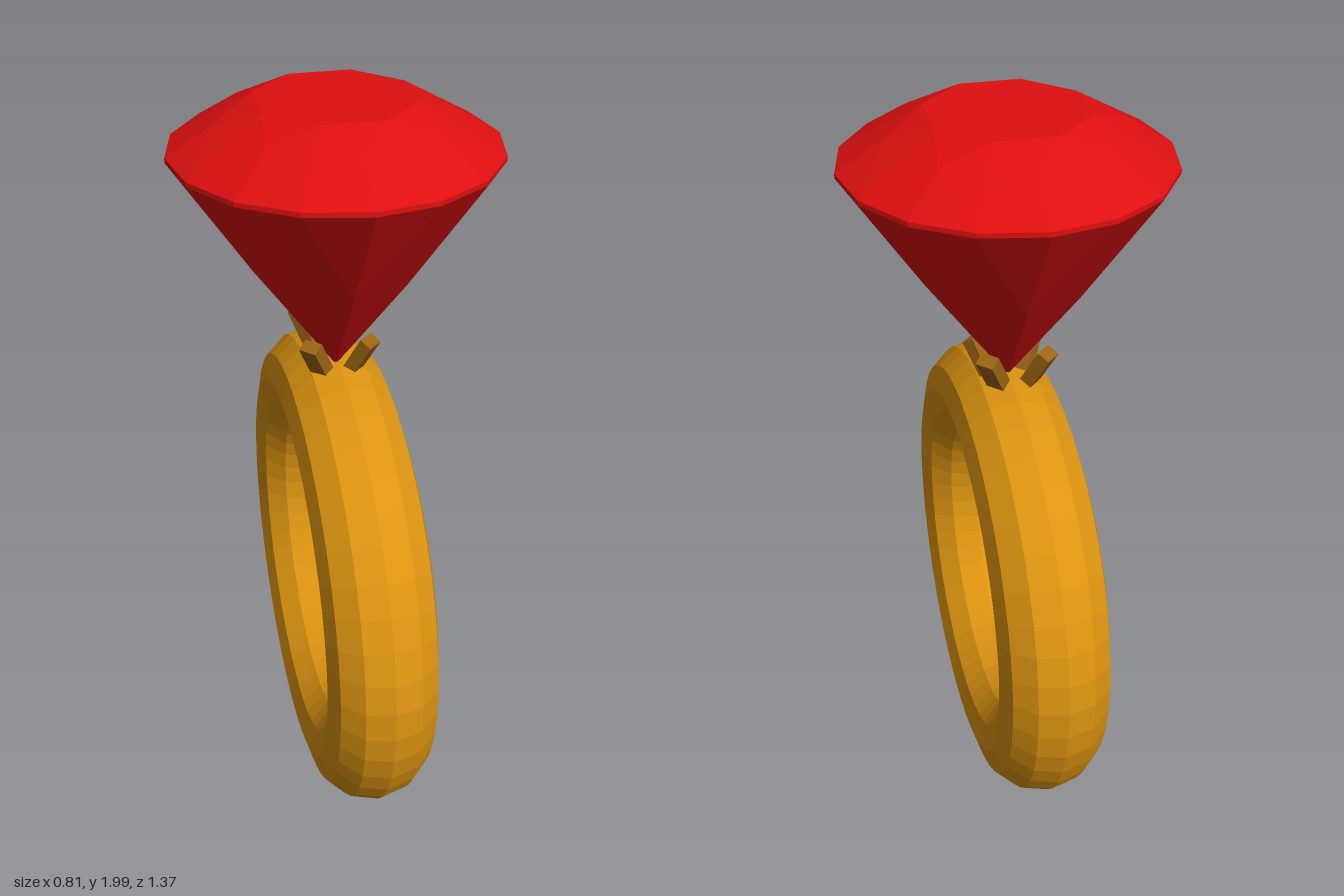
import * as THREE from 'three';

const mat = (name, color) => {
  const m = new THREE.MeshStandardMaterial({ color, flatShading: true });
  m.name = name;
  return m;
};

// Brilliant-cut gem: table, star, girdle, pavilion rings and a point
function gemGeometry() {
  const pos = [];
  const P = (r, y, step) => { // step counts 22.5 degree turns
    const a = step * Math.PI / 8;
    return [r * Math.cos(a), y, r * Math.sin(a)];
  };
  const tri = (a, b, c) => pos.push(...a, ...c, ...b);
  const table = s => P(0.2, 2.0, s), star = s => P(0.287, 1.957, s);
  const girdle = s => P(0.407, 1.882, s), under = s => P(0.407, 1.87, s);
  const mid = s => P(0.207, 1.57, s);
  const top = [0, 2, 0], tip = [0, 1.285, 0];
  for (let s = 0; s < 16; s += 2) {
    const l = s - 1, r = s + 1;
    // crown: table, star, kite halves and upper girdle facets
    tri(top, table(l), table(r));
    tri(table(l), star(s), table(r));
    tri(star(s), girdle(r), table(r));
    tri(star(s), table(l), girdle(l));
    tri(star(s), girdle(s), girdle(r));
    tri(star(s), girdle(l), girdle(s));
    // girdle band
    for (const g of [l, s]) {
      tri(girdle(g), under(g), under(g + 1));
      tri(girdle(g), under(g + 1), girdle(g + 1));
    }
    // pavilion: lower girdle facets and kite halves down to the tip
    tri(under(l), mid(s), under(s));
    tri(under(s), mid(s), under(r));
    tri(mid(s), tip, under(r));
    tri(mid(s), under(l), tip);
  }
  const g = new THREE.BufferGeometry();
  g.setAttribute('position', new THREE.Float32BufferAttribute(pos, 3));
  g.computeVertexNormals();
  return g;
}

export function createModel() {
  const model = new THREE.Group();
  model.name = 'gemRing';
  const gold = mat('gold', 0xdc9410);
  const darkGold = mat('darkGold', 0x9c6414);
  const red = mat('gemRed', 0xde0f10);

  const add = (name, geometry, material) => {
    const mesh = new THREE.Mesh(geometry, material);
    mesh.name = name;
    model.add(mesh);
    return mesh;
  };

  // Slightly oval band, standing in the side plane
  const band = new THREE.TorusGeometry(0.55, 0.138, 12, 48);
  band.scale(1.002, 0.932, 1.05).rotateZ(0.33).rotateY(Math.PI / 2);
  add('band', band, gold).position.set(0.003, 0.652, 0);

  add('gem', gemGeometry(), red).position.z = -0.01;

  // Four prongs leaning outward around the gem's point
  for (const side of [-1, 1]) {
    for (const [end, z, y] of [['front', 0.03, 1.33], ['back', -0.105, 1.358]]) {
      const prong = add(end + (side > 0 ? 'Left' : 'Right') + 'Prong',
        new THREE.BoxGeometry(0.05, 0.105, 0.035), darkGold);
      prong.rotation.order = 'YXZ';
      prong.rotation.y = Math.atan2(side, end === 'front' ? 1 : -1);
      prong.rotation.x = 0.52;
      prong.position.set(side * 0.06, y, z);
    }
  }
  return model;
}
